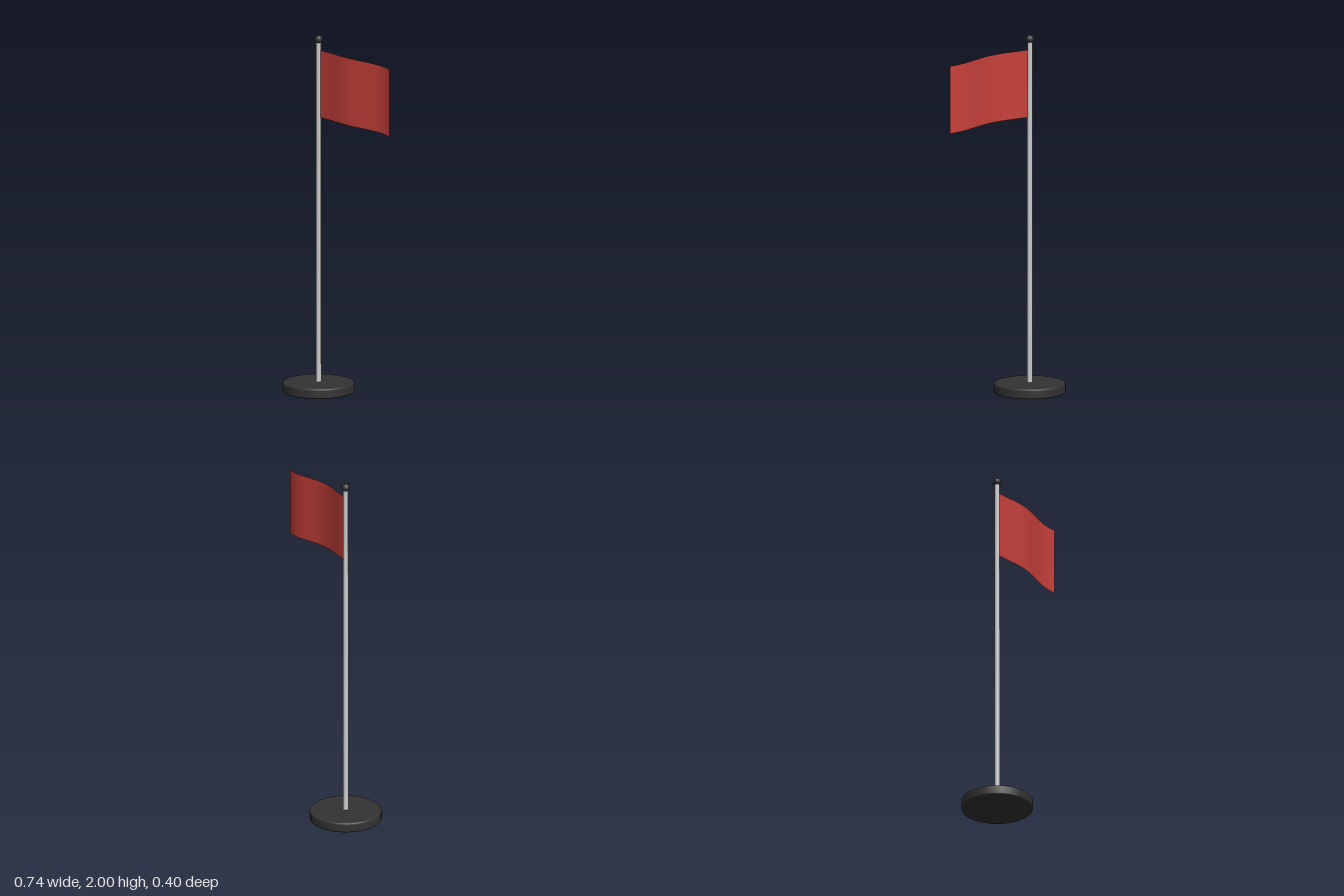
import * as THREE from 'three';

const POLE_X = -0.172;

export function createModel() {
  const group = new THREE.Group();
  const material = (name, color, side = THREE.FrontSide) => {
    const m = new THREE.MeshStandardMaterial({ color, side });
    m.name = name;
    return m;
  };
  const black = material('black', 0x333333);
  const metal = material('lightMetal', 0xcccccc);
  const red = material('redCloth', 0xc8403a, THREE.DoubleSide);

  const add = (name, geometry, mat, x, y) => {
    const mesh = new THREE.Mesh(geometry, mat);
    mesh.name = name;
    mesh.position.set(x, y, 0);
    group.add(mesh);
  };

  // Round foot with softened rims; doubled rim points keep the flat faces flat
  const R = 0.198, H = 0.057, B = 0.01;
  const profile = [new THREE.Vector2(0, 0), new THREE.Vector2(R - B - 0.001, 0)];
  for (let i = 0; i <= 4; i++) {
    const a = -Math.PI / 2 + (i / 4) * (Math.PI / 2);
    profile.push(new THREE.Vector2(R - B + B * Math.cos(a), B + B * Math.sin(a)));
  }
  for (let i = 0; i <= 4; i++) {
    const a = (i / 4) * (Math.PI / 2);
    profile.push(new THREE.Vector2(R - B + B * Math.cos(a), H - B + B * Math.sin(a)));
  }
  profile.push(new THREE.Vector2(R - B - 0.001, H), new THREE.Vector2(0, H));
  add('base', new THREE.LatheGeometry(profile, 24), black, POLE_X, 0);

  // Pole and ball finial
  add('pole', new THREE.CylinderGeometry(0.014, 0.015, 1.91, 16), metal, POLE_X, 0.05 + 0.955);
  add('finial', new THREE.SphereGeometry(0.0225, 20, 14), black, POLE_X, 1.9775);

  // Cloth: a sheet whose wave grows and whose edge sags towards the free end
  const W = 0.525, T = 0.378;
  const cloth = new THREE.PlaneGeometry(W, T, 28, 4);
  const p = cloth.attributes.position;
  for (let i = 0; i < p.count; i++) {
    const u = p.getX(i) / W + 0.5;
    p.setY(i, p.getY(i) - 0.027 * u * u);
    p.setZ(i, 0.035 * u * Math.sin(5.6 * u));
  }
  cloth.computeVertexNormals();
  add('flag', cloth, red, -0.156 + W / 2, 1.728);

  return group;
}
